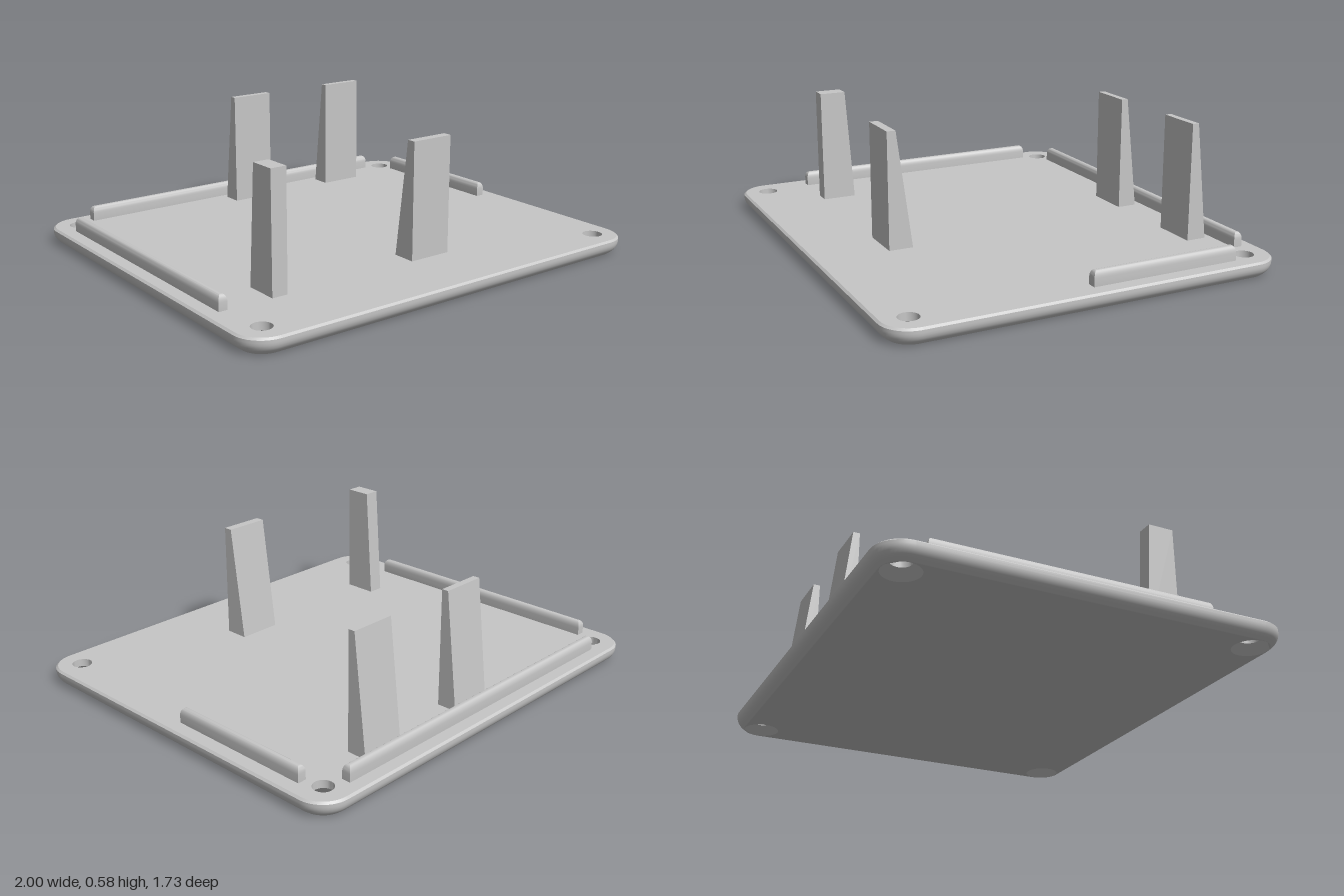
import * as THREE from 'three';
import { toCreasedNormals } from 'three/addons/utils/BufferGeometryUtils.js';

const HX = 1, HZ = 0.866, TOP = 0.074, CORNER = 0.125;
const HOLE_X = 0.883, HOLE_Z = 0.749, HOLE_R = 0.043, SINK_R = 0.078;

// Rounded rectangle outline, shrunk by inset
function outline(inset) {
  const pts = [], r = CORNER - inset;
  const centres = [[1, 1], [-1, 1], [-1, -1], [1, -1]];
  centres.forEach(([sx, sy], k) => {
    for (let i = 0; i <= 12; i++) {
      const a = (k + i / 12) * Math.PI / 2;
      pts.push(new THREE.Vector2(sx * (HX - CORNER) + r * Math.cos(a), sy * (HZ - CORNER) + r * Math.sin(a)));
    }
  });
  return pts;
}

// Flat plate face with four round holes
function plateFace(inset, holeR) {
  const shape = new THREE.Shape(outline(inset));
  for (const sx of [-1, 1]) for (const sy of [-1, 1]) {
    const hole = [];
    for (let i = 0; i < 32; i++) {
      const a = i / 32 * Math.PI * 2;
      hole.push(new THREE.Vector2(sx * HOLE_X + holeR * Math.cos(a), sy * HOLE_Z + holeR * Math.sin(a)));
    }
    shape.holes.push(new THREE.Path(hole));
  }
  return new THREE.ShapeGeometry(shape);
}

// Rim lofted through [y, inset] rings
function rimGeometry() {
  const rings = [[0, 0.036], [0.01, 0.023], [0.02, 0.013], [0.032, 0.005], [0.045, 0.001], [0.055, 0], [0.066, 0], [TOP, 0.009]];
  const pos = [], idx = [], n = outline(0).length;
  rings.forEach(([y, inset], i) => {
    outline(inset).forEach((p, j) => {
      pos.push(p.x, y, -p.y);
      if (i === rings.length - 1) return;
      const a = i * n + j, b = i * n + (j + 1) % n;
      idx.push(a, b, b + n, a, b + n, a + n);
    });
  });
  const g = new THREE.BufferGeometry();
  g.setAttribute('position', new THREE.Float32BufferAttribute(pos, 3));
  g.setIndex(idx);
  return toCreasedNormals(g, 0.6);
}

// Straight rail with an arched top; its foot is sunk into the plate
function railGeometry(x0, x1, z0, z1) {
  const r = 0.016, rise = 0.03, foot = 0.03, top = 0.138;
  const s = new THREE.Shape();
  s.moveTo(x0 + r, -z1 + r);
  s.lineTo(x1 - r, -z1 + r);
  s.lineTo(x1 - r, -z0 - r);
  s.lineTo(x0 + r, -z0 - r);
  s.closePath();
  const g = new THREE.ExtrudeGeometry(s, {
    depth: top - foot - 2 * rise, bevelThickness: rise, bevelSize: r, bevelSegments: 6,
  });
  g.rotateX(-Math.PI / 2).translate(0, foot + rise, 0);
  return toCreasedNormals(g, 0.6);
}

// Post with one upright face and one sloping face
function postGeometry(x0, x1, zUpright, zTop, zBase) {
  const s = new THREE.Shape([
    new THREE.Vector2(zUpright, TOP), new THREE.Vector2(zBase, TOP),
    new THREE.Vector2(zTop, 0.585), new THREE.Vector2(zUpright, 0.585),
  ]);
  const g = new THREE.ExtrudeGeometry(s, { depth: x1 - x0, bevelEnabled: false });
  return g.rotateY(-Math.PI / 2).translate(x1, 0, 0);
}

export function createModel() {
  const model = new THREE.Group();
  model.name = 'coverPlate';
  const grey = new THREE.MeshStandardMaterial({ color: 0xc6c6c6 });
  grey.name = 'lightGrey';
  const add = (name, geometry) => {
    const mesh = new THREE.Mesh(geometry, grey);
    mesh.name = name;
    model.add(mesh);
    return mesh;
  };

  // Base plate
  add('plateTop', plateFace(0.009, HOLE_R).rotateX(-Math.PI / 2).translate(0, TOP, 0));
  add('plateBottom', plateFace(0.036, SINK_R).rotateX(Math.PI / 2));
  add('plateRim', rimGeometry());

  // Countersunk screw holes, walls facing inward
  const wall = [[HOLE_R, TOP], [HOLE_R, 0.04], [SINK_R, 0]].map(([r, y]) => new THREE.Vector2(r, y));
  const holeGeo = toCreasedNormals(new THREE.LatheGeometry(wall, 32), 0.5);
  for (const sx of [-1, 1]) for (const sz of [-1, 1]) {
    add('screwHole', holeGeo).position.set(sx * HOLE_X, 0, sz * HOLE_Z);
  }

  // Locating rails
  add('backRail', railGeometry(-0.802, 0.8, -0.803, -0.764));
  add('rightRail', railGeometry(-0.936, -0.897, -0.67, 0.543));
  add('leftRail', railGeometry(0.894, 0.933, -0.67, 0.002));

  // Support posts
  add('backPost', postGeometry(-0.1, 0.1, -0.643, -0.673, -0.732));
  add('backPost', postGeometry(0.44, 0.64, -0.643, -0.673, -0.732));
  add('frontPost', postGeometry(0, 0.197, 0.547, 0.508, 0.44));
  add('narrowFrontPost', postGeometry(-0.7, -0.629, 0.547, 0.43, 0.395));

  return model;
}
